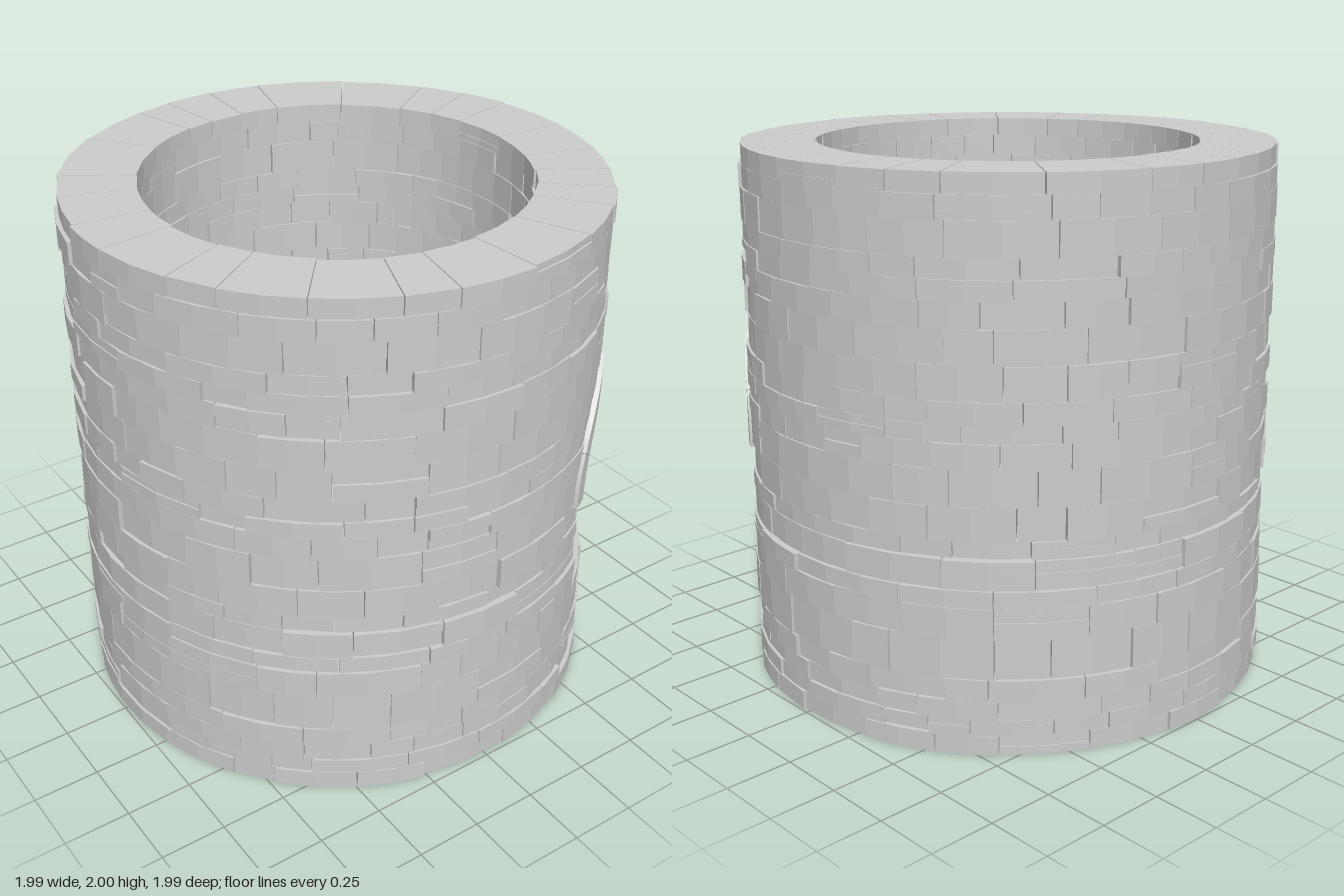
import * as THREE from 'three';
import { mergeGeometries } from 'three/addons/utils/BufferGeometryUtils.js';

const FACING = Math.PI / 4;              // direction the window looks towards
const SILL = 0.43, SPRING = 0.88;        // window sill and foot of the arch
const HALF = 0.235, APEX = 1.27;         // opening half width and top
const OUT_HALF = 0.3, OUT_APEX = 1.37;   // outside of the arch stones
const POWER = 2.3;                       // roundness of the pointed arch
const COURSES = [0, 0.07, 0.13, 0.2, 0.28, 0.43, 0.54, 0.61, 0.72, 0.78, 0.9, 1.03,
  1.12, 1.18, 1.26, 1.38, 1.5, 1.59, 1.66, 1.73, 1.85, 1.93, 2];

let seed = 7;
function rand(min = 0, max = 1) {
  seed = (seed * 16807) % 2147483647;
  return min + (max - min) * (seed / 2147483647);
}

// Point at radius r and height y, at an angle measured from the window's centre
function polar(r, angle, y) {
  return [r * Math.sin(FACING + angle), y, r * Math.cos(FACING + angle)];
}

// Closed solid through a row of four-cornered cross-sections
function loft(sections) {
  const pos = sections.flat(2), index = [];
  const quad = (a, b, c, d) => index.push(a, b, c, a, c, d);
  const last = (sections.length - 1) * 4;
  quad(0, 1, 2, 3);
  quad(last + 3, last + 2, last + 1, last);
  for (let s = 0; s < last; s += 4) {
    for (let k = 0; k < 4; k++) {
      const n = (k + 1) % 4;
      quad(s + n, s + k, s + 4 + k, s + 4 + n);
    }
  }
  const geo = new THREE.BufferGeometry();
  geo.setAttribute('position', new THREE.Float32BufferAttribute(pos, 3));
  geo.setIndex(index);
  const flat = geo.toNonIndexed();
  flat.computeVertexNormals();
  return flat;
}

// Curved wall block; its two ends are functions of radius and height
function block(y0, y1, start, end, width) {
  const r0 = rand(0.702, 0.716), r1 = rand(0.978, 0.996);
  const steps = Math.max(1, Math.ceil(width / 0.2));
  const corners = [[r0, y0], [r1, y0], [r1, y1], [r0, y1]];
  const sections = [];
  for (let i = 0; i <= steps; i++) {
    sections.push(corners.map(([r, y]) =>
      polar(r, THREE.MathUtils.lerp(start(r, y), end(r, y), i / steps), y)));
  }
  return loft(sections);
}

// Half width left free by the wall blocks around the window
function clearance(y) {
  if (y <= 0.9) return HALF;
  const u = Math.min(1, (y - SPRING) / ((APEX + OUT_APEX) / 2 - SPRING));
  return (HALF + OUT_HALF) / 2 * (1 - u ** POWER);
}

// One ring of blocks with irregular widths, some split into two thin ones
function courseGeometry(y0, y1) {
  const opened = y0 >= SILL - 0.001 && y1 <= 1.381;
  const first = opened ? 0 : rand(0, 0.3);
  const end = first + Math.PI * 2;
  const marks = [first];
  let a = first + (opened ? rand(0.4, 0.55) : rand(0.16, 0.36));
  const stop = end - (opened ? 0.4 : 0.15);
  while (a < stop) {
    marks.push(a);
    a += rand(0.15, 0.38);
  }
  marks.push(end);
  const parts = [];
  for (let i = 0; i < marks.length - 1; i++) {
    const from = marks[i], to = marks[i + 1];
    const atStart = opened && i === 0, atEnd = opened && i === marks.length - 2;
    const start = (r, y) => atStart ? Math.asin(clearance(y) / r) : from + 0.002;
    const finish = (r, y) => atEnd ? end - Math.asin(clearance(y) / r) : to - 0.002;
    const levels = rand() < 0.15 ? [y0, y0 + (y1 - y0) * rand(0.35, 0.65), y1] : [y0, y1];
    for (let k = 0; k < levels.length - 1; k++) {
      parts.push(block(levels[k], levels[k + 1], start, finish, to - from));
    }
  }
  return mergeGeometries(parts);
}

// Arch stone between two fractions of the arch's rise, on one side
function archStone(u0, u1, side) {
  const sections = [], steps = 6;
  for (let i = 0; i <= steps; i++) {
    const u = THREE.MathUtils.lerp(u0, u1, i / steps);
    const k = 1 - u ** POWER;
    const inner = [HALF * k, SPRING + (APEX - SPRING) * u];
    const outer = [OUT_HALF * k, SPRING + (OUT_APEX - SPRING) * u];
    const at = ([t, y], r) => polar(r, side * Math.asin(t / r), y);
    const ring = [at(inner, 1), at(outer, 1), at(outer, 0.705), at(inner, 0.705)];
    sections.push(side > 0 ? ring.reverse() : ring);
  }
  return loft(sections);
}

export function createModel() {
  const model = new THREE.Group();
  model.name = 'towerSection';
  const stone = new THREE.MeshStandardMaterial({ color: 0xcccccc, flatShading: true });
  const metal = new THREE.MeshStandardMaterial({ color: 0xcccccc });
  const add = (parent, name, geo, mat) => {
    const mesh = new THREE.Mesh(geo, mat);
    mesh.name = name;
    parent.add(mesh);
    return mesh;
  };

  // Stone courses, with open joints above and below one of them
  const wall = new THREE.Group();
  wall.name = 'wall';
  model.add(wall);
  for (let i = 0; i < COURSES.length - 1; i++) {
    const gap = COURSES[i + 1] === 0.61 || COURSES[i + 1] === 0.72 ? 0.008 : 0;
    add(wall, 'stoneCourse', courseGeometry(COURSES[i], COURSES[i + 1] - gap), stone);
  }

  // Pointed window arch, two stones on each side
  const arch = new THREE.Group();
  arch.name = 'windowArch';
  model.add(arch);
  for (const side of [-1, 1]) {
    add(arch, 'archStone', archStone(0, 0.43, side), stone);
    add(arch, 'archStone', archStone(0.435, 1, side), stone);
  }

  // Round upright bars in the middle of the wall's thickness
  const bars = new THREE.Group();
  bars.name = 'windowBars';
  bars.rotation.y = FACING;
  model.add(bars);
  for (const x of [-0.132, -0.044, 0.044, 0.132]) {
    const top = SPRING + (APEX - SPRING) * (1 - Math.abs(x) / HALF) ** (1 / POWER);
    const bottom = SILL - 0.025, radius = 0.025;
    const bar = add(bars, 'windowBar',
      new THREE.CapsuleGeometry(radius, top - bottom - radius * 2, 4, 12), metal);
    bar.position.set(x, (top + bottom) / 2, 0.84);
  }
  return model;
}
